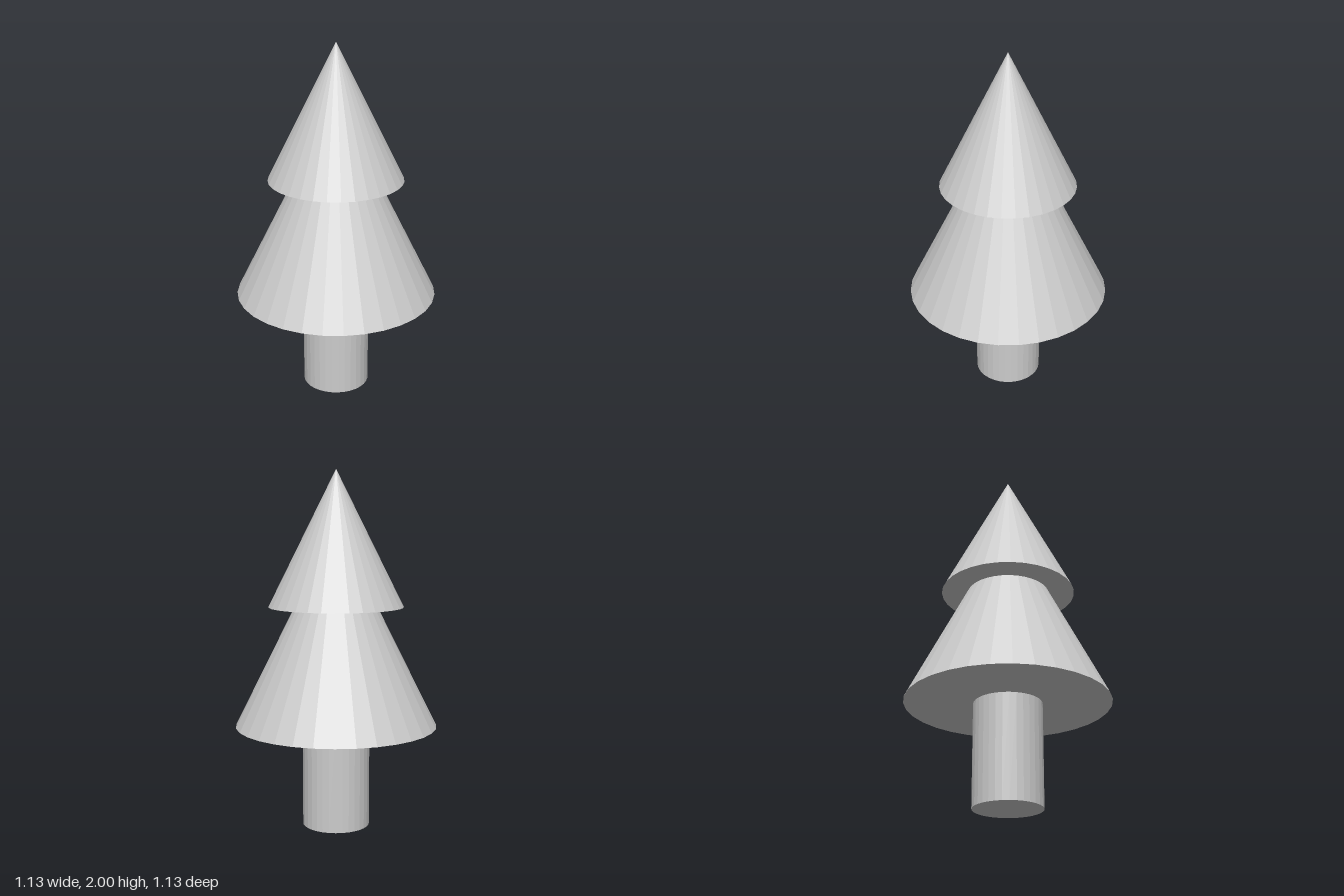
import * as THREE from 'three';

const SIDES = 32;

export function createModel() {
  const tree = new THREE.Group();
  tree.name = 'tree';
  const material = new THREE.MeshStandardMaterial({ color: 0xcccccc, flatShading: true });

  // Adds a round part standing on the given height
  function addPart(name, geometry, base, height) {
    const mesh = new THREE.Mesh(geometry, material);
    mesh.name = name;
    mesh.position.y = base + height / 2;
    tree.add(mesh);
  }

  // Trunk
  addPart('trunk', new THREE.CylinderGeometry(0.189, 0.189, 0.575, SIDES), 0, 0.575);

  // Two stacked cones of foliage, the upper one covering the tip of the lower
  const tiers = [
    { name: 'lowerFoliage', radius: 0.566, base: 0.575, height: 1.132 },
    { name: 'upperFoliage', radius: 0.377, base: 1.245, height: 0.755 },
  ];
  for (const { name, radius, base, height } of tiers) {
    addPart(name, new THREE.ConeGeometry(radius, height, SIDES), base, height);
  }

  return tree;
}
